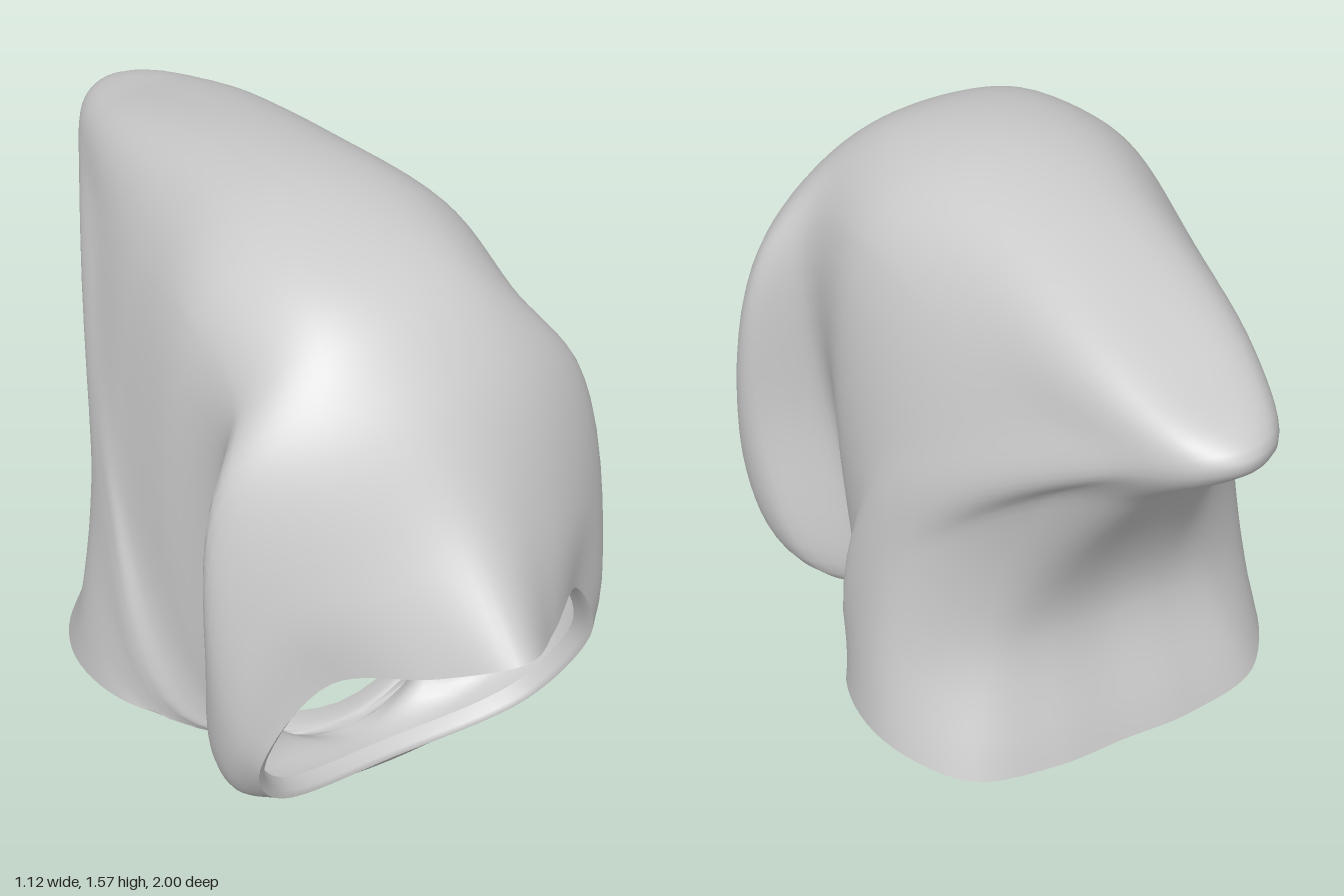
import * as THREE from 'three';

// Half cross-sections, swept from the face opening over the crown to the neck hem.
// Each: top [y,z], upper [x,y,z], shoulder [x,y,z], side [x,y,z], lower [x,y,z], chin [y,z]
const FRONT = [
  [0.82, 1.0, 0.16, 0.755, 0.88, 0.34, 0.69, 0.71, 0.475, 0.4, 0.61, 0.36, 0.17, 0.52, 0.09, 0.46],   // face rim
  [1.05, 0.8, 0.21, 0.98, 0.75, 0.43, 0.86, 0.63, 0.525, 0.47, 0.56, 0.44, 0.18, 0.46, 0.04, 0.42],   // brow
  [1.33, 0.6, 0.27, 1.29, 0.56, 0.485, 1.15, 0.47, 0.53, 0.65, 0.45, 0.42, 0.18, 0.36, 0.02, 0.36],   // cheek bulge
  [1.5, 0.4, 0.23, 1.46, 0.385, 0.395, 1.28, 0.355, 0.365, 0.68, 0.33, 0.23, 0.13, 0.25, 0.01, 0.27], // valley
  [1.58, 0.1, 0.24, 1.525, 0.1, 0.385, 1.37, 0.1, 0.45, 0.72, 0.11, 0.3, 0.13, 0.17, 0.01, 0.235],    // crown
];
const BACK = [
  [1.56, -0.25, 0.2, 1.515, -0.23, 0.35, 1.32, -0.2, 0.48, 0.76, -0.04, 0.37, 0.14, 0.13, 0.01, 0.23],
  [1.43, -0.75, 0.165, 1.41, -0.72, 0.285, 1.26, -0.52, 0.49, 0.79, -0.11, 0.42, 0.145, 0.105, 0.01, 0.225], // peak top
  [1.325, -1.0, 0.1, 1.31, -0.955, 0.22, 1.23, -0.76, 0.495, 0.74, -0.14, 0.44, 0.145, 0.085, 0.01, 0.22],   // peak tip
  [1.08, -0.75, 0.13, 1.06, -0.72, 0.27, 0.97, -0.52, 0.505, 0.59, -0.18, 0.46, 0.145, 0.065, 0.01, 0.215],  // below peak
  [0.52, -0.43, 0.16, 0.52, -0.43, 0.32, 0.48, -0.39, 0.525, 0.37, -0.22, 0.48, 0.144, 0.045, 0.01, 0.21],   // nape
  [0.1, -0.52, 0.2, 0.1, -0.52, 0.42, 0.115, -0.47, 0.555, 0.145, -0.23, 0.495, 0.142, 0.03, 0.01, 0.205],   // neck hem
];
const AROUND = 80, ALONG = 72;

// Mirror a half section into a smooth closed ring
function ring(s) {
  const v = (x, y, z) => new THREE.Vector3(x, y, z);
  const half = [2, 5, 8, 11].map(k => v(s[k], s[k + 1], s[k + 2]));
  const mirrored = half.map(p => v(-p.x, p.y, p.z)).reverse();
  const points = [v(0, s[0], s[1]), ...half, v(0, s[14], s[15]), ...mirrored];
  const curve = new THREE.CatmullRomCurve3(points, true, 'centripetal');
  return Array.from({ length: AROUND }, (_, j) => curve.getPoint(j / AROUND));
}

// Shrink a ring towards its centre and shift it, for the turned-in edges
function inset(points, scale, dy, dz) {
  const c = points.reduce((a, p) => a.add(p), new THREE.Vector3()).divideScalar(points.length);
  return points.map(p => p.clone().sub(c).multiplyScalar(scale).add(c).add(new THREE.Vector3(0, dy, dz)));
}

// Skin a list of closed rings with quads
function skin(rings) {
  const positions = [], index = [];
  rings.forEach(r => r.forEach(p => positions.push(p.x, p.y, p.z)));
  for (let i = 0; i < rings.length - 1; i++) {
    for (let j = 0; j < AROUND; j++) {
      const k = (j + 1) % AROUND;
      const a = i * AROUND + j, b = i * AROUND + k;
      const c = a + AROUND, d = b + AROUND;
      index.push(a, b, c, b, d, c);
    }
  }
  const geometry = new THREE.BufferGeometry();
  geometry.setAttribute('position', new THREE.Float32BufferAttribute(positions, 3));
  geometry.setIndex(index);
  geometry.computeVertexNormals();
  return geometry;
}

export function createModel() {
  const group = new THREE.Group();
  group.name = 'hood';
  const material = new THREE.MeshStandardMaterial({ color: 0xcccccc, side: THREE.DoubleSide });
  const add = (name, rings) => {
    const mesh = new THREE.Mesh(skin(rings), material);
    mesh.name = name;
    group.add(mesh);
  };

  // Cloth shell, lofted smoothly through the sections
  const keys = [...FRONT, ...BACK].map(ring);
  const columns = keys[0].map((_, j) =>
    new THREE.CatmullRomCurve3(keys.map(r => r[j]), false, 'centripetal'));
  const shell = Array.from({ length: ALONG + 1 }, (_, i) =>
    columns.map(c => c.getPoint(i / ALONG)));
  add('hoodShell', shell);

  // Turned-in edges of the two openings
  const face = shell[0], hem = shell[ALONG];
  add('faceRim', [inset(face, 0.94, 0.01, -0.05), inset(face, 0.96, 0.005, -0.01), face]);
  add('neckHem', [hem, inset(hem, 0.97, 0.005, 0), inset(hem, 0.95, 0.04, 0)]);
  return group;
}
